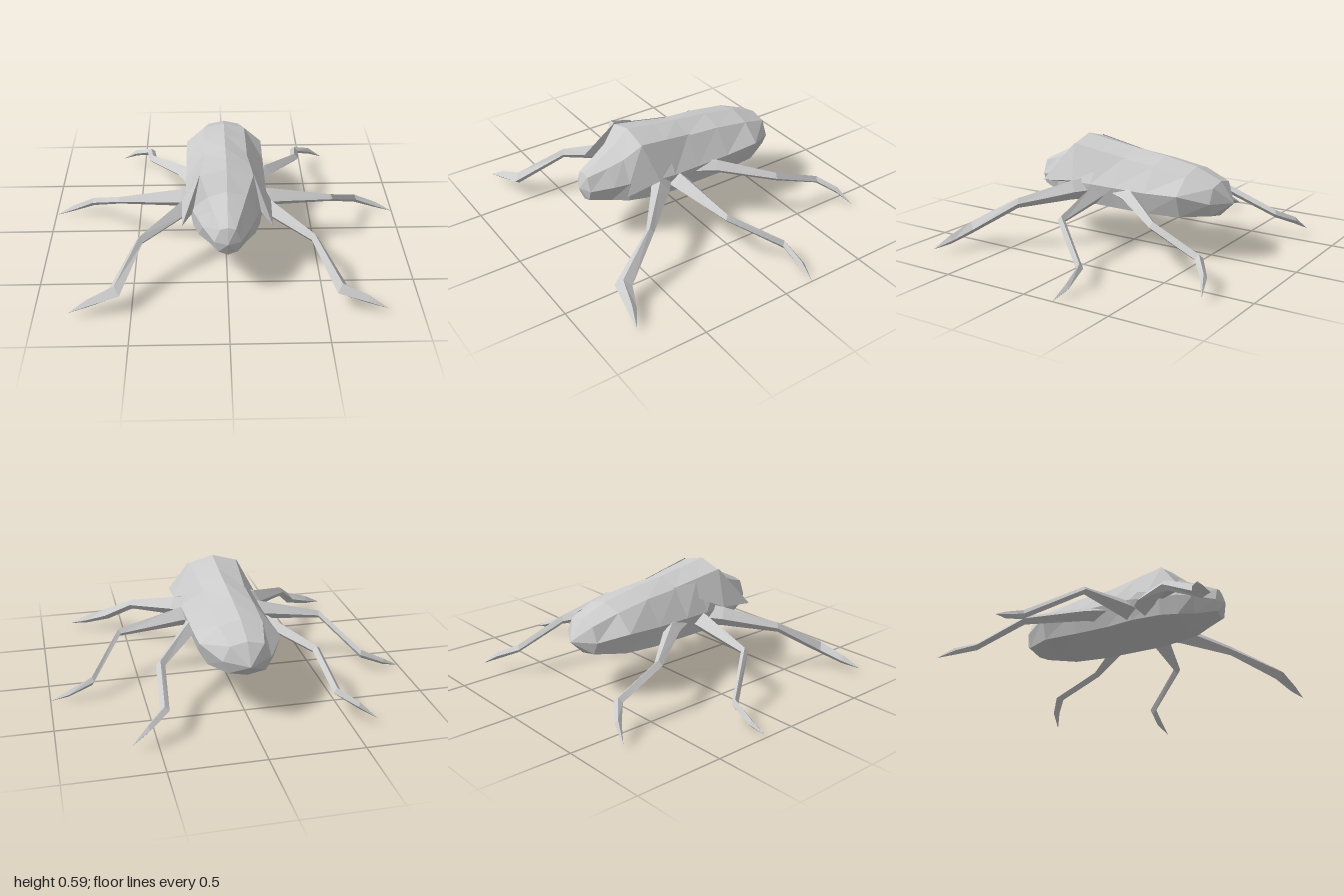
import * as THREE from 'three';

const material = new THREE.MeshStandardMaterial({ color: 0xcccccc, flatShading: true, side: THREE.DoubleSide });

// Flat-shaded geometry from a list of triangles, dropping collapsed ones
function facets(triangles) {
  const points = [];
  for (const [a, b, c] of triangles) {
    const area = b.clone().sub(a).cross(c.clone().sub(a)).length();
    if (area > 1e-7) points.push(a, b, c);
  }
  const geometry = new THREE.BufferGeometry().setFromPoints(points);
  geometry.computeVertexNormals();
  return geometry;
}

// Skin a row of closed rings
function loft(rings) {
  const triangles = [];
  for (let i = 0; i < rings.length - 1; i++) {
    const n = rings[i].length;
    for (let j = 0; j < n; j++) {
      const k = (j + 1) % n;
      const a = rings[i][j], b = rings[i][k], c = rings[i + 1][k], d = rings[i + 1][j];
      triangles.push([a, d, c], [a, c, b]);
    }
  }
  return facets(triangles);
}

// Copy mirrored in x, with the corner order reversed
function mirrored(geometry) {
  const p = geometry.attributes.position, points = [];
  for (let i = 0; i < p.count; i += 3) {
    for (const j of [i, i + 2, i + 1]) points.push(new THREE.Vector3(-p.getX(j), p.getY(j), p.getZ(j)));
  }
  const copy = new THREE.BufferGeometry().setFromPoints(points);
  copy.computeVertexNormals();
  return copy;
}

// Body ring: top y, shoulder x y, side x y, lower x y, bottom y
function bodyRing([z, top, sx, sy, mx, my, lx, ly, bottom]) {
  return [[0, top], [sx, sy], [mx, my], [lx, ly], [0, bottom], [-lx, ly], [-mx, my], [-sx, sy]]
    .map(([x, y]) => new THREE.Vector3(x, y, z));
}

// Diamond-sectioned leg through joints [x, y, z, half width, half height]
function legGeometry(joints) {
  const centres = joints.map(([x, y, z]) => new THREE.Vector3(x, y, z));
  const up = new THREE.Vector3(0, 1, 0);
  return loft(joints.map(([, , , w, h], i) => {
    const before = centres[Math.max(i - 1, 0)], after = centres[Math.min(i + 1, centres.length - 1)];
    const inward = centres[i].clone().sub(before).normalize();
    const along = after.clone().sub(centres[i]).normalize().add(inward).normalize();
    const right = new THREE.Vector3().crossVectors(up, along).normalize();
    return [[0, h], [w, 0], [0, -h], [-w, 0]].map(([r, u]) =>
      centres[i].clone().addScaledVector(right, r).addScaledVector(up, u));
  }));
}

export function createModel() {
  const model = new THREE.Group();
  model.name = 'beetle';

  const add = (name, geometry) => {
    const mesh = new THREE.Mesh(geometry, material);
    mesh.name = name;
    model.add(mesh);
  };
  const addPair = (name, geometry) => {
    add('left' + name, geometry);
    add('right' + name, mirrored(geometry));
  };

  // Abdomen and thorax, tail to shoulders
  const shoulders = [0.31, 0.595, 0.14, 0.555, 0.19, 0.35, 0.18, 0.25, 0.185];
  add('body', loft([
    [-0.63, 0.32, 0, 0.32, 0, 0.32, 0, 0.32, 0.32],
    [-0.55, 0.43, 0.09, 0.41, 0.13, 0.33, 0.1, 0.26, 0.24],
    [-0.4, 0.49, 0.12, 0.46, 0.22, 0.37, 0.18, 0.25, 0.21],
    [-0.2, 0.525, 0.12, 0.49, 0.22, 0.36, 0.19, 0.24, 0.19],
    [0, 0.55, 0.12, 0.505, 0.22, 0.36, 0.19, 0.24, 0.178],
    [0.15, 0.57, 0.13, 0.53, 0.22, 0.36, 0.2, 0.245, 0.172],
    shoulders,
  ].map(bodyRing)));

  // Sloping head with a blunt snout
  add('head', loft([
    shoulders,
    [0.4, 0.515, 0.1, 0.48, 0.16, 0.36, 0.15, 0.25, 0.2],
    [0.48, 0.47, 0.075, 0.445, 0.13, 0.35, 0.1, 0.255, 0.22],
    [0.59, 0.415, 0.04, 0.405, 0.07, 0.33, 0.05, 0.27, 0.25],
    [0.62, 0.33, 0, 0.33, 0, 0.33, 0, 0.33, 0.33],
  ].map(bodyRing)));

  // Pointed shield plates flaring from the shoulders
  const [rear, peak, tip, edge, inner] = [
    [0.115, 0.507, -0.02], [0.142, 0.56, 0.31], [0.237, 0.345, 0.465],
    [0.24, 0.37, 0.26], [0.17, 0.34, 0.3],
  ].map((p) => new THREE.Vector3(...p));
  addPair('ShieldPlate', facets([
    [rear, peak, edge], [peak, tip, edge], [peak, inner, tip], [tip, inner, edge],
  ]));

  // Three pairs of jointed legs, root to toe
  const legs = {
    FrontLeg: [
      [0.15, 0.32, 0.2, 0.06, 0.065], [0.24, 0.315, 0.26, 0.05, 0.055], [0.46, 0.26, 0.47, 0.022, 0.028],
      [0.585, 0.11, 0.71, 0.045, 0.035], [0.72, 0.07, 0.745, 0.025, 0.025], [0.82, 0.035, 0.78, 0, 0],
    ],
    MiddleLeg: [
      [0.14, 0.31, 0.13, 0.06, 0.06], [0.24, 0.305, 0.12, 0.055, 0.055], [0.59, 0.262, 0.073, 0.02, 0.022],
      [0.77, 0.1, -0.172, 0.018, 0.025], [0.9, 0.045, -0.185, 0.018, 0.018], [1, 0.005, -0.175, 0, 0],
    ],
    RearLeg: [
      [0.15, 0.33, 0, 0.06, 0.045], [0.23, 0.325, -0.12, 0.045, 0.04], [0.425, 0.262, -0.385, 0.025, 0.025],
      [0.452, 0.152, -0.67, 0.025, 0.022], [0.55, 0.1, -0.75, 0.018, 0.02], [0.64, 0.035, -0.79, 0, 0],
    ],
  };
  for (const [name, joints] of Object.entries(legs)) addPair(name, legGeometry(joints));

  // Rest the toes on the ground
  model.position.y = -0.005;
  return model;
}
